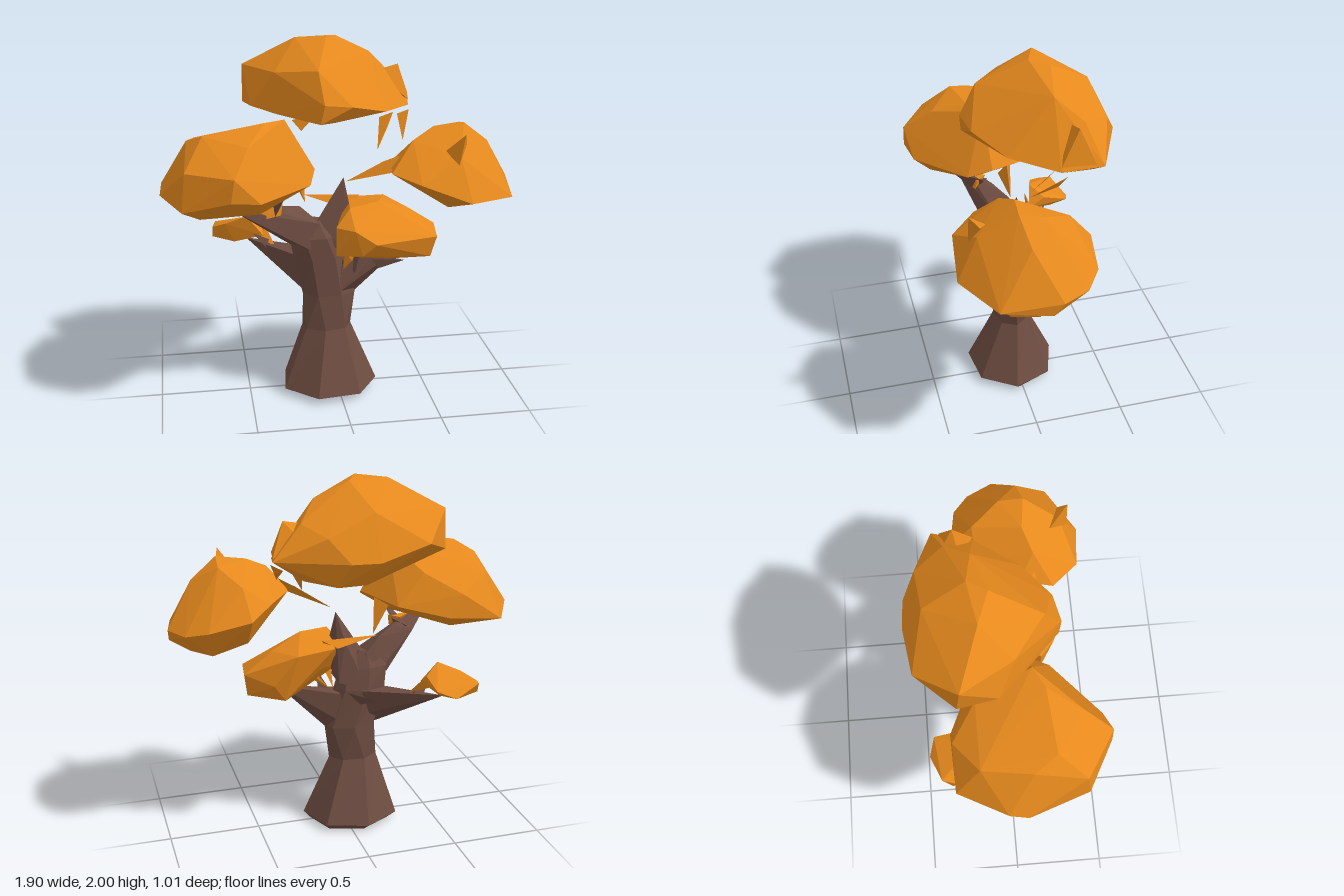
import * as THREE from 'three';
import { ConvexGeometry } from 'three/addons/geometries/ConvexGeometry.js';

const leaf = new THREE.MeshStandardMaterial({ color: 0xe6891d });
leaf.name = 'autumn orange';
const bark = new THREE.MeshStandardMaterial({ color: 0x6d4c41 });
bark.name = 'bark brown';

// Faceted solid wrapped around a few corner points
function hull(name, material, points) {
  const geometry = new ConvexGeometry(points.map(p => new THREE.Vector3(...p)));
  const mesh = new THREE.Mesh(geometry, material);
  mesh.name = name;
  return mesh;
}

// Thin pointed sliver running from a wide base to a tip
function shard(name, material, base, tip, width) {
  const [x, y, z] = base;
  return hull(name, material, [
    tip, [x - width, y, z - width], [x + width, y + width, z], [x, y - width, z + width],
  ]);
}

// Closed faceted column through elliptical rings: [y, cx, cz, rx, rz, twist]
function column(name, rings, sides) {
  const pos = [], index = [];
  for (const [y, cx, cz, rx, rz, twist] of rings) {
    for (let i = 0; i < sides; i++) {
      const a = i / sides * Math.PI * 2 + twist;
      pos.push(cx + Math.cos(a) * rx, y, cz + Math.sin(a) * rz);
    }
  }
  for (let r = 0; r < rings.length - 1; r++) {
    for (let i = 0; i < sides; i++) {
      const a = r * sides + i, b = r * sides + (i + 1) % sides;
      index.push(a, a + sides, b, b, a + sides, b + sides);
    }
  }
  const top = (rings.length - 1) * sides;
  for (let i = 1; i < sides - 1; i++) {
    index.push(0, i, i + 1, top, top + i + 1, top + i);
  }
  const indexed = new THREE.BufferGeometry();
  indexed.setAttribute('position', new THREE.Float32BufferAttribute(pos, 3));
  indexed.setIndex(index);
  const geometry = indexed.toNonIndexed();
  geometry.computeVertexNormals();
  const mesh = new THREE.Mesh(geometry, bark);
  mesh.name = name;
  return mesh;
}

export function createModel() {
  const tree = new THREE.Group();
  tree.name = 'tree';

  // Flared, waisted trunk
  tree.add(column('trunk', [
    [0.00, -0.04, 0.0, 0.23, 0.2, 0.1],
    [0.035, -0.05, 0.015, 0.275, 0.255, 0.1],
    [0.38, -0.06, 0.015, 0.14, 0.1, -0.1],
    [0.58, -0.045, 0.00, 0.15, 0.1, 0.25],
    [0.80, -0.10, 0.00, 0.15, 0.1, 0.1],
    [0.92, -0.13, 0.01, 0.14, 0.09, 0.2],
    [1.01, -0.13, 0.01, 0.05, 0.05, 0.2],
  ], 7));

  // Branches
  tree.add(hull('leftLimb', bark, [
    [-0.26, 0.87, 0.0], [-0.14, 0.85, 0.09], [-0.14, 0.85, -0.08], [-0.1, 1.0, 0.06], [-0.12, 1.0, -0.05],
    [-0.2, 1.08, -0.02], [-0.33, 1.11, 0.05], [-0.44, 1.07, 0.08], [-0.42, 1.14, 0.16], [-0.58, 1.16, 0.24],
  ]));
  tree.add(hull('centreLimb', bark, [
    [-0.18, 0.9, 0.04], [-0.12, 0.8, -0.08], [0.04, 0.85, 0.08], [0.04, 0.85, -0.07],
    [-0.12, 1.0, 0.04], [0.07, 1.08, 0.03], [0.0, 1.08, -0.05], [0.04, 1.24, 0.0],
  ]));
  tree.add(hull('lowerLeftBranch', bark, [
    [-0.18, 0.58, -0.02], [-0.13, 0.66, -0.08], [-0.2, 0.79, 0.0], [-0.08, 0.8, -0.1],
    [-0.31, 0.73, -0.15], [-0.26, 0.78, -0.18], [-0.48, 0.81, -0.31],
  ]));
  tree.add(hull('lowerRightBranch', bark, [
    [0.09, 0.56, 0.0], [0.0, 0.6, 0.09], [0.0, 0.6, -0.08], [0.03, 0.78, 0.06], [0.03, 0.78, -0.06],
    [0.2, 0.79, 0.06], [0.2, 0.73, 0.0], [0.36, 0.83, 0.04],
  ]));

  // Small twigs poking out of the leaves
  const twigs = [
    [[0.09, 0.75, 0.05], [0.13, 0.89, 0.09], 0.04],
    [[-0.06, 0.74, -0.08], [-0.12, 0.8, -0.27], 0.05],
    [[-0.36, 0.79, -0.22], [-0.45, 0.88, -0.18], 0.025],
    [[0.22, 0.77, 0.08], [0.34, 0.82, 0.21], 0.03],
    [[-0.36, 1.1, 0.1], [-0.31, 1.23, 0.28], 0.04],
  ];
  twigs.forEach(([base, tip, w], i) => tree.add(shard('twig' + (i + 1), bark, base, tip, w)));

  // Canopy masses
  tree.add(hull('topCanopy', leaf, [
    [-0.48, 1.62, -0.27], [-0.48, 1.83, -0.25], [-0.32, 1.7, -0.47], [-0.05, 1.63, -0.51],
    [0.1, 1.63, -0.5], [0.2, 1.75, -0.43], [0.46, 1.63, -0.34], [0.3, 1.8, -0.28],
    [0.42, 1.6, -0.13], [0.25, 1.62, 0.1], [0.05, 1.68, 0.24], [-0.1, 1.7, 0.27],
    [-0.12, 1.6, 0.26], [-0.33, 1.62, 0.06], [-0.45, 1.64, -0.06], [-0.33, 1.83, 0.02],
    [-0.2, 1.985, -0.14], [-0.04, 2.0, -0.08], [0.02, 1.985, -0.18], [0.2, 1.9, -0.15],
    [-0.12, 1.86, 0.18], [-0.05, 1.86, -0.4], [0.0, 1.54, -0.02], [0.3, 1.52, -0.33],
    [0.0, 1.5, -0.42], [-0.4, 1.6, -0.2], [0.15, 1.5, -0.43],
  ]));
  tree.add(hull('topCanopySpur', leaf, [
    [0.38, 1.81, -0.23], [0.24, 1.78, -0.2], [0.45, 1.64, -0.3], [0.42, 1.63, -0.13], [0.28, 1.7, -0.32],
  ]));
  tree.add(hull('leftCanopy', leaf, [
    [-0.95, 1.2, 0.05], [-0.94, 1.24, -0.05], [-0.8, 1.22, -0.31], [-0.5, 1.25, -0.32],
    [-0.58, 1.37, -0.31], [-0.25, 1.3, -0.2], [-0.13, 1.32, 0.09], [-0.17, 1.27, 0.22],
    [-0.45, 1.26, 0.47], [-0.6, 1.28, 0.5], [-0.58, 1.4, 0.5], [-0.84, 1.2, 0.37],
    [-0.82, 1.4, 0.35], [-0.8, 1.5, 0.08], [-0.72, 1.55, 0.2], [-0.4, 1.6, 0.17],
    [-0.29, 1.6, 0.11], [-0.5, 1.52, 0.35], [-0.75, 1.45, -0.18], [-0.4, 1.47, -0.18],
    [-0.85, 1.14, 0.1], [-0.75, 1.14, 0.3], [-0.45, 1.18, 0.38], [-0.55, 1.17, -0.2],
    [-0.3, 1.2, 0.1],
  ]));
  tree.add(hull('rightCanopy', leaf, [
    [0.95, 1.22, 0.0], [0.9, 1.18, 0.3], [0.64, 1.2, 0.45], [0.38, 1.3, 0.42],
    [0.25, 1.33, 0.28], [0.28, 1.35, 0.1], [0.42, 1.35, -0.12], [0.55, 1.3, -0.25],
    [0.77, 1.25, -0.22], [0.88, 1.22, -0.14], [0.5, 1.54, 0.13], [0.66, 1.56, 0.15],
    [0.67, 1.53, 0.02], [0.38, 1.48, 0.18], [0.8, 1.45, 0.12], [0.6, 1.42, 0.34],
    [0.57, 1.45, -0.13], [0.74, 1.1, -0.13], [0.55, 1.14, 0.3], [0.85, 1.12, 0.15],
    [0.55, 1.15, -0.12], [0.84, 1.11, -0.04], [0.94, 1.15, 0.05],
  ]));
  tree.add(hull('lowerRightCanopy', leaf, [
    [-0.03, 0.86, 0.2], [-0.03, 1.02, 0.2], [0.05, 1.11, 0.15], [0.22, 1.12, 0.08],
    [0.4, 1.05, 0.0], [0.56, 0.94, -0.03], [0.54, 0.81, 0.0], [0.44, 0.78, 0.05],
    [0.17, 0.95, 0.31], [0.1, 0.88, 0.28], [0.06, 1.02, 0.28], [0.3, 0.92, 0.24],
    [0.25, 0.83, 0.2], [0.3, 1.07, -0.19], [0.09, 1.08, -0.15], [0.14, 0.95, -0.08],
    [0.42, 0.9, -0.15], [0.36, 0.81, -0.14], [0.53, 0.93, 0.17], [0.5, 0.81, 0.15],
  ]));
  tree.add(hull('lowerLeftCanopy', leaf, [
    [-0.67, 0.82, -0.33], [-0.67, 0.88, -0.32], [-0.65, 0.89, -0.39], [-0.48, 0.97, -0.21],
    [-0.39, 0.92, -0.28], [-0.39, 0.86, -0.19], [-0.5, 0.84, -0.45], [-0.4, 0.88, -0.42],
    [-0.55, 0.81, -0.25], [-0.45, 0.82, -0.33], [-0.6, 0.92, -0.25],
  ]));

  // Leaf clump resting on the left limb
  tree.add(hull('limbLeafClump', leaf, [
    [-0.47, 1.14, 0.19], [-0.31, 1.15, 0.14], [-0.32, 1.09, 0.15], [-0.42, 1.08, 0.18], [-0.36, 1.15, 0.08],
  ]));

  // Ragged leaf slivers between the masses
  const slivers = [
    [[0.27, 1.36, 0.18], [0.04, 1.24, 0.08], 0.04],
    [[0.3, 1.53, -0.12], [0.23, 1.38, -0.02], 0.035],
    [[0.4, 1.54, -0.15], [0.36, 1.44, 0.02], 0.03],
    [[-0.22, 1.28, 0.0], [-0.17, 1.1, -0.02], 0.04],
    [[0.1, 1.07, -0.08], [-0.17, 1.12, -0.1], 0.04],
    [[-0.2, 1.57, 0.05], [-0.12, 1.62, 0.1], 0.04],
    [[0.58, 1.44, 0.33], [0.61, 1.55, 0.38], 0.05],
    [[-0.4, 0.86, -0.26], [-0.32, 0.79, -0.18], 0.03],
    [[0.05, 0.87, 0.2], [0.02, 0.75, 0.12], 0.03],
    [[0.18, 0.88, 0.08], [0.08, 0.8, 0.0], 0.04],
  ];
  slivers.forEach(([base, tip, w], i) => tree.add(shard('leafSliver' + (i + 1), leaf, base, tip, w)));

  return tree;
}
